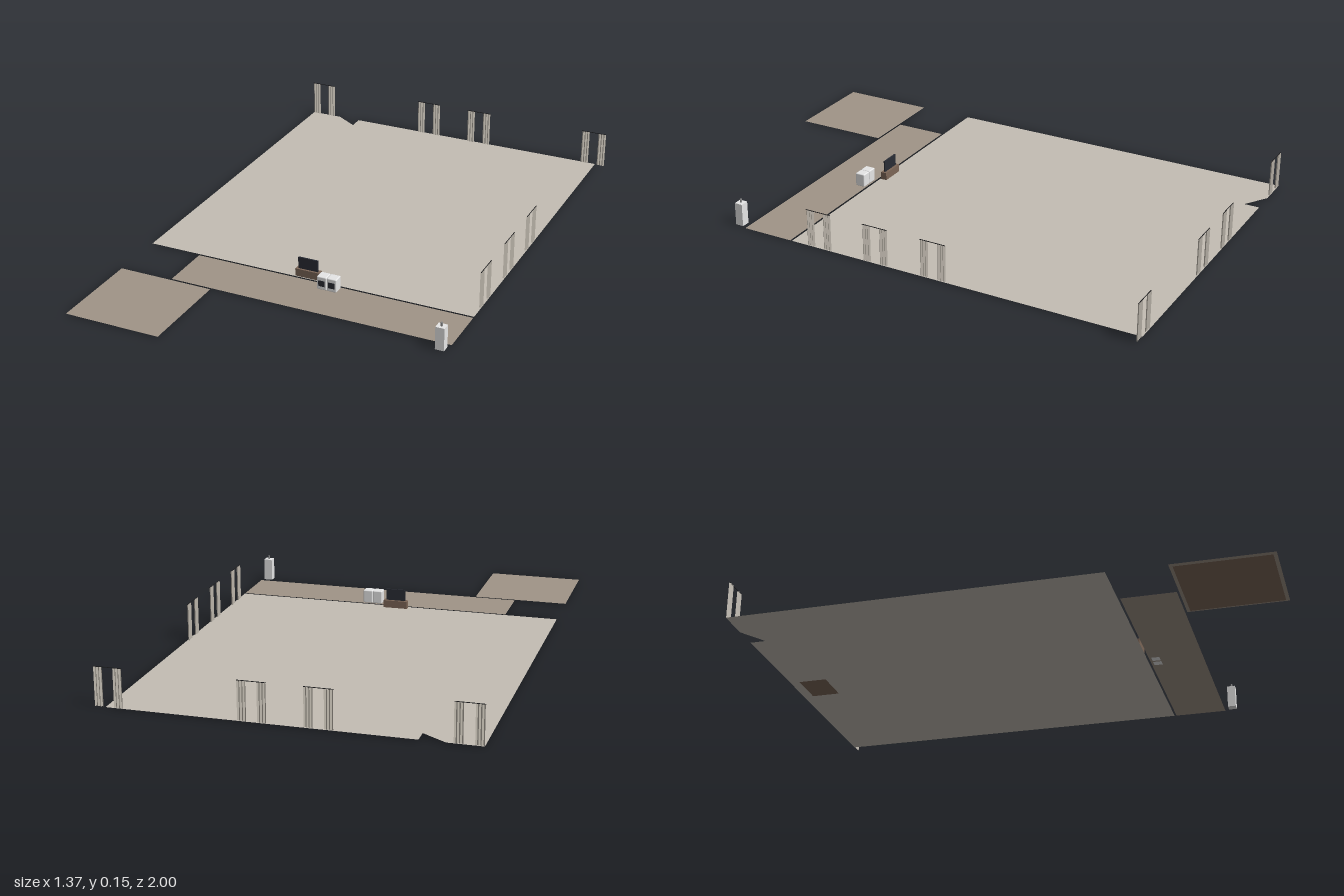
import * as THREE from 'three';
import { RoundedBoxGeometry } from 'three/addons/geometries/RoundedBoxGeometry.js';

const mat = (name, color, side = THREE.FrontSide) => {
  const m = new THREE.MeshStandardMaterial({ color, side });
  m.name = name;
  return m;
};

export function createModel() {
  const model = new THREE.Group();
  model.name = 'apartmentFloor';

  const floorMat = mat('pale floor', 0xc4beb4, THREE.DoubleSide);
  const hallMat = mat('brown floor', 0xa09487, THREE.DoubleSide);
  const underMat = mat('dark brown underlay', 0x7e6859, THREE.DoubleSide);
  const clothMat = mat('curtain cloth', 0xc2bbb0, THREE.DoubleSide);
  const rodMat = mat('black rod', 0x1c1c1e);
  const woodMat = mat('stand wood', 0x7c6657);
  const screenMat = mat('screen', 0x2a2d35);
  const whiteMat = mat('appliance white', 0xe8e8e8);
  const greyMat = mat('appliance grey', 0x8c8c8c);

  const add = (parent, name, geometry, material, x = 0, y = 0, z = 0) => {
    const mesh = new THREE.Mesh(geometry, material);
    mesh.name = name;
    mesh.position.set(x, y, z);
    parent.add(mesh);
    return mesh;
  };
  const box = (parent, name, material, w, h, d, x, y, z) =>
    add(parent, name, new THREE.BoxGeometry(w, h, d), material, x, y, z);

  // Flat floor sheet from an outline of [x, z] corners
  const sheet = (name, material, corners, y) => {
    const shape = new THREE.Shape(corners.map(([x, z]) => new THREE.Vector2(x, -z)));
    add(model, name, new THREE.ShapeGeometry(shape).rotateX(-Math.PI / 2), material, 0, y, 0);
  };
  const rect = (x0, x1, z0, z1) => [[x0, z1], [x1, z1], [x1, z0], [x0, z0]];

  sheet('mainFloor', floorMat, [[-0.683, 0.41], [0.643, 0.41], [0.643, -1], [-0.462, -1],
    [-0.462, -0.94], [-0.555, -1], [-0.683, -1]], 0.003);
  sheet('hallFloor', hallMat, rect(-0.472, 0.643, 0.418, 0.622), 0.003);
  sheet('terraceFloor', hallMat, rect(-0.683, -0.304, 0.63, 1), 0.003);
  sheet('terraceUnderlay', underMat, rect(-0.67, -0.317, 0.643, 0.987), 0);
  sheet('backUnderlay', underMat, rect(-0.08, 0.065, -0.96, -0.85), 0);

  // Pleated curtain panel: a plane folded in zigzag
  const folds = 6;
  const panelGeometry = new THREE.PlaneGeometry(0.032, 0.143, folds, 1);
  const p = panelGeometry.attributes.position;
  for (let i = 0; i < p.count; i++) p.setZ(i, (i % (folds + 1)) % 2 ? 0.003 : -0.003);
  const cloth = panelGeometry.toNonIndexed();
  cloth.computeVertexNormals();

  // Pair of panels under one rod
  const curtain = (x, z, turn) => {
    const g = new THREE.Group();
    g.name = 'curtain';
    for (const s of [-1, 1]) add(g, 'curtainPanel', cloth, clothMat, s * 0.0355, 0.0745, 0);
    box(g, 'curtainRod', rodMat, 0.104, 0.002, 0.002, 0, 0.147, 0);
    g.position.set(x, 0, z);
    g.rotation.y = turn;
    model.add(g);
  };
  for (const x of [-0.631, -0.121, 0.113, 0.631]) curtain(x, -0.996, 0);
  for (const z of [0.291, 0.05, -0.19]) curtain(0.639, z, Math.PI / 2);

  // Television on a low stand
  const tv = new THREE.Group();
  tv.name = 'television';
  box(tv, 'tvStand', woodMat, 0.098, 0.03, 0.024, -0.02, 0.018, 0.394);
  box(tv, 'tvScreen', screenMat, 0.08, 0.046, 0.006, -0.02, 0.056, 0.395);
  model.add(tv);

  // Two soft-edged washers with dark square doors facing forward
  for (const x of [0.067, 0.107]) {
    const washer = new THREE.Group();
    washer.name = 'washer';
    add(washer, 'washerBody', new RoundedBoxGeometry(0.039, 0.053, 0.04, 3, 0.004), whiteMat, 0, 0.0295, 0);
    box(washer, 'doorWindow', screenMat, 0.025, 0.023, 0.002, 0, 0.029, 0.0205);
    washer.position.set(x, 0, 0.443);
    model.add(washer);
  }

  // Water heater with a short flue
  const heater = new THREE.Group();
  heater.name = 'waterHeater';
  box(heater, 'heaterBody', whiteMat, 0.034, 0.089, 0.032, 0, 0.0475, 0);
  add(heater, 'flue', new THREE.CylinderGeometry(0.004, 0.004, 0.014, 12), greyMat, 0, 0.099, 0);
  heater.position.set(0.617, 0, 0.655);
  model.add(heater);

  return model;
}
